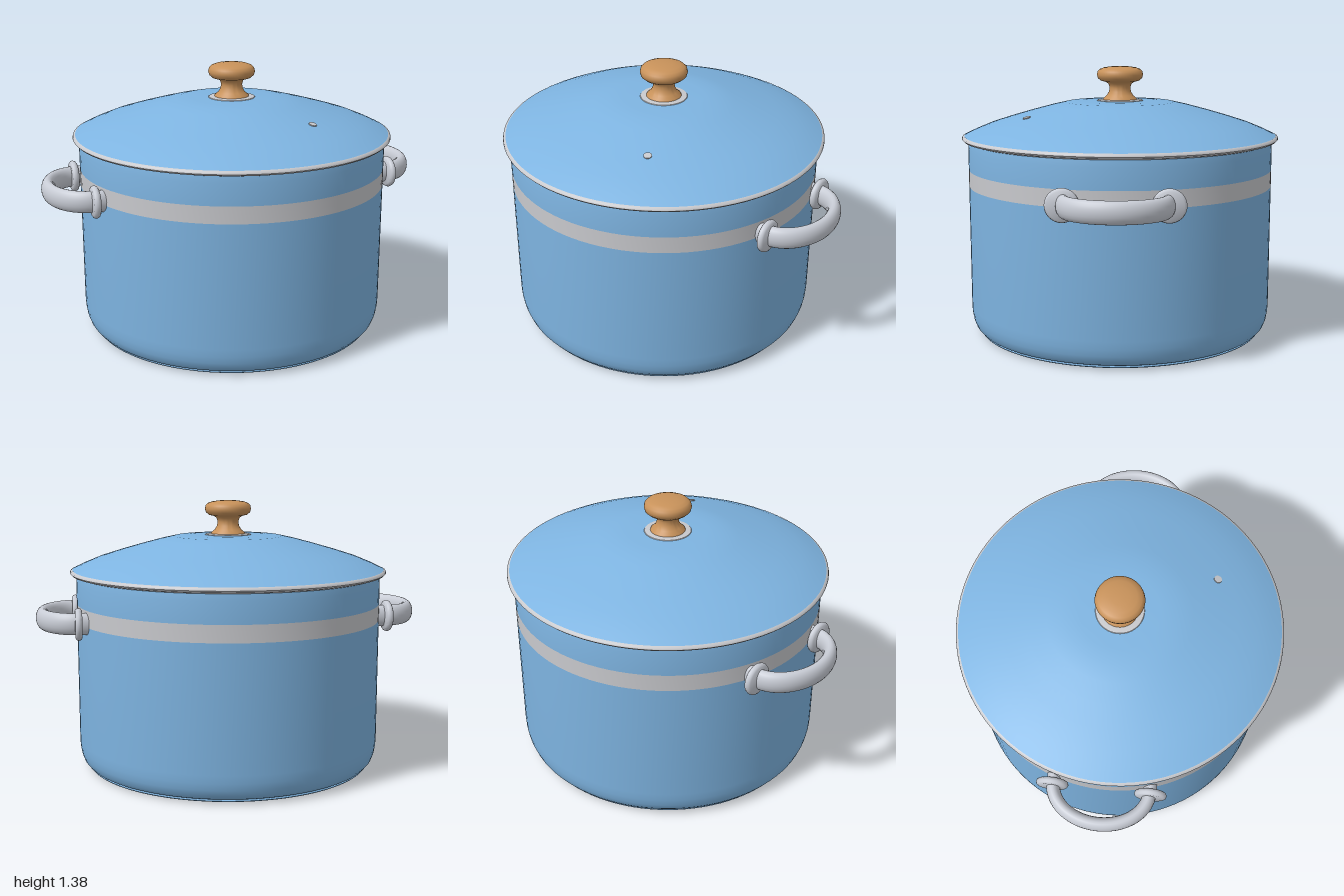
import * as THREE from 'three';
import { toCreasedNormals } from 'three/addons/utils/BufferGeometryUtils.js';

const material = (name, color) => {
  const m = new THREE.MeshStandardMaterial({ color });
  m.name = name;
  return m;
};

export function createModel() {
  const enamel = material('blue enamel', 0x7eb4e1);
  const trim = material('pale grey trim', 0xc8c9cd);
  const steel = material('steel', 0xc8ccd5);
  const wood = material('wood', 0xc8925a);

  const pot = new THREE.Group();
  pot.name = 'cookingPot';

  const add = (parent, name, geometry, mat) => {
    const mesh = new THREE.Mesh(geometry, mat);
    mesh.name = name;
    parent.add(mesh);
    return mesh;
  };
  // Profiles run bottom to top along the outside
  const lathe = (points, segments = 96, crease = 0.6) => toCreasedNormals(
    new THREE.LatheGeometry(points.map(([r, y]) => new THREE.Vector2(r, y)), segments), crease);

  // Body: rounded foot, flush band, upper wall with lip and inner wall
  add(pot, 'base', lathe([[0, 0], [0.69, 0], [0.742, 0.008]]), trim);
  add(pot, 'lowerBody', lathe([
    [0.742, 0.008], [0.746, 0.013], [0.738, 0.018], [0.755, 0.025], [0.771, 0.045], [0.782, 0.075],
    [0.788, 0.11], [0.79, 0.15], [0.79, 0.777],
  ]), enamel);
  add(pot, 'band', lathe([[0.79, 0.777], [0.79, 0.862]]), trim);
  add(pot, 'upperBody', lathe([
    [0.79, 0.862], [0.79, 0.97], [0.785, 1.005], [0.765, 1.005], [0.76, 0.97], [0.76, 0.12],
    [0.71, 0.04], [0, 0.04],
  ]), enamel);

  // Lid
  const lid = new THREE.Group();
  lid.name = 'lid';
  pot.add(lid);
  add(lid, 'lidRim', lathe([
    [0, 1.003], [0.785, 1.003], [0.812, 1.011], [0.821, 1.02], [0.819, 1.029], [0.808, 1.035],
  ], 96, 1), trim);
  add(lid, 'lidDome', lathe([
    [0.812, 1.032], [0.76, 1.057], [0.68, 1.09], [0.58, 1.122], [0.46, 1.157], [0.36, 1.184],
    [0.28, 1.202], [0.2, 1.207], [0, 1.21],
  ]), enamel);
  add(lid, 'knobCollar', lathe([[0.122, 1.206], [0.118, 1.211], [0.09, 1.214], [0, 1.214]], 48), trim);

  // Small steam vent lying on the slope of the lid
  const vent = add(lid, 'steamVent', new THREE.CylinderGeometry(0.02, 0.02, 0.008, 16), trim);
  vent.position.set(0.25, 1.139, 0.46);
  vent.quaternion.setFromUnitVectors(
    new THREE.Vector3(0, 1, 0), new THREE.Vector3(0.14, 1, 0.26).normalize());

  // Turned knob with a softly domed top
  add(lid, 'knob', lathe([
    [0.09, 1.212], [0.086, 1.22], [0.068, 1.235], [0.057, 1.255], [0.054, 1.275], [0.06, 1.295],
    [0.075, 1.305], [0.1, 1.311], [0.115, 1.324], [0.12, 1.342], [0.116, 1.359], [0.104, 1.371],
    [0.082, 1.379], [0.045, 1.384], [0, 1.385],
  ], 48, 1.2), wood);

  // Side handles: flattened bow whose ends pass through two round flanges
  const bowPoints = Array.from({ length: 17 }, (_, i) => {
    const a = (i / 16 - 0.5) * Math.PI;
    return new THREE.Vector3(0.785 + 0.181 * Math.cos(a), 0, 0.24 * Math.sin(a));
  });
  const bow = new THREE.CatmullRomCurve3([
    new THREE.Vector3(0.74, 0, -0.24), ...bowPoints, new THREE.Vector3(0.74, 0, 0.24),
  ]);
  const bowGeometry = new THREE.TubeGeometry(bow, 56, 0.034, 20).scale(1, 1.6, 1);
  const flangeGeometry = lathe([
    [0, 0], [0.068, 0], [0.077, 0.006], [0.081, 0.017], [0.077, 0.028], [0.068, 0.034], [0, 0.036],
  ], 40, 1).rotateZ(-Math.PI / 2);

  for (const [name, turn] of [['leftHandle', 0], ['rightHandle', Math.PI]]) {
    const handle = new THREE.Group();
    handle.name = name;
    handle.position.y = 0.795;
    handle.rotation.y = turn;
    add(handle, 'bow', bowGeometry, steel);
    for (const z of [-0.245, 0.245]) {
      add(handle, 'flange', flangeGeometry, steel).position.set(0.774, 0, z);
    }
    pot.add(handle);
  }
  return pot;
}
